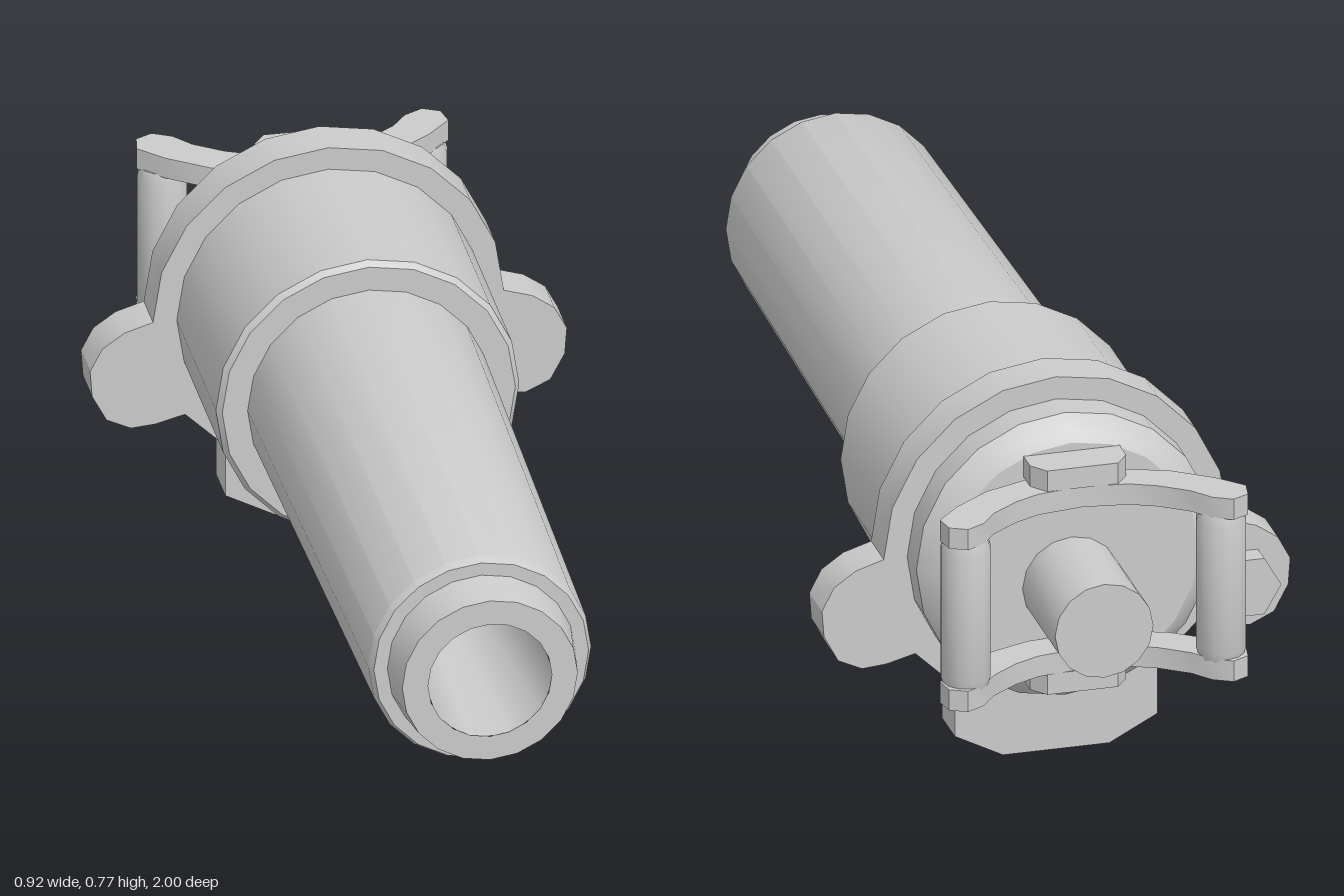
import * as THREE from 'three';
import { toCreasedNormals } from 'three/addons/utils/BufferGeometryUtils.js';

const AXIS_Y = 0.435;
const material = new THREE.MeshStandardMaterial({ color: 0xcccccc });

const vec = ([x, y]) => new THREE.Vector2(x, y);

// Closed outline from its right half, mirrored across x = 0 (half runs from x >= 0 to x >= 0)
function mirrored(half) {
  const left = half.filter(([x]) => x > 0).reverse().map(([x, y]) => [-x, y]);
  return [...half, ...left];
}

function extrude(outline, depth) {
  return new THREE.ExtrudeGeometry(new THREE.Shape(outline.map(vec)), { depth, bevelEnabled: false });
}

// Lathe around the z axis; profile pairs are [radius, z]
function turned(profile, sides, phi = 0) {
  return new THREE.LatheGeometry(profile.map(vec), sides, phi).rotateX(Math.PI / 2);
}

export function createModel() {
  const model = new THREE.Group();
  const add = (name, geometry, x = 0, y = 0, z = 0, crease = 0.5) => {
    const mesh = new THREE.Mesh(toCreasedNormals(geometry, crease), material);
    mesh.name = name;
    mesh.position.set(x, y, z);
    model.add(mesh);
    return mesh;
  };

  // Tapered barrel with a stepped muzzle
  add('barrel', turned([
    [0.235, -0.25], [0.235, -0.18], [0.216, 0.9], [0.208, 0.915], [0.182, 0.915],
    [0.17, 1], [0.12, 1],
  ], 20), 0, AXIS_Y);

  // Tapering bore, closed at its inner end
  add('bore', turned([[0.125, 1], [0.087, 0.2], [0, 0.2]], 10, Math.PI / 2), 0, AXIS_Y, 0, 0.8);

  // Rear casing with rounded back edge
  add('casing', turned([
    [0, -0.77], [0.25, -0.77], [0.27, -0.757], [0.294, -0.725], [0.294, -0.19],
    [0.284, -0.178], [0.22, -0.178],
  ], 20), 0, AXIS_Y);

  // Mounting flange: round top, two ears and a foot
  const half = [];
  for (let i = 0; i <= 5; i++) {
    const a = i * Math.PI / 10;
    half.push([0.34 * Math.sin(a), AXIS_Y + 0.34 * Math.cos(a)]);
  }
  half.push([0.395, 0.418], [0.438, 0.388], [0.462, 0.342], [0.458, 0.288], [0.43, 0.235],
    [0.383, 0.213], [0.335, 0.217], [0.278, 0.232], [0.2, 0.157], [0.2, 0.05], [0.105, 0]);
  add('mountingFlange', extrude(mirrored(half), 0.09), 0, 0, -0.66);

  // Hexagonal bolt on one ear
  add('earBolt', new THREE.CylinderGeometry(0.067, 0.067, 0.06, 6).rotateX(Math.PI / 2).rotateZ(Math.PI / 6),
    -0.365, 0.31, -0.675);

  // Lug below the barrel
  const lug = [[0.215, 0.24], [0.215, 0.165], [0.17, 0.115], [0.105, 0.115], [0.06, 0.16], [0.06, 0.24]];
  add('barrelLug', extrude(lug, 0.175).rotateY(-Math.PI / 2), 0.0875);

  // Rear rod
  add('rearRod', new THREE.CylinderGeometry(0.097, 0.097, 0.25, 16).rotateX(Math.PI / 2), 0, 0.392, -0.875);

  // Curved handle arms and their brackets, above and below
  const arm = mirrored([
    [0, 0.775], [0.09, 0.782], [0.18, 0.815], [0.255, 0.87], [0.302, 0.92], [0.295, 0.96],
    [0.262, 0.977], [0.225, 0.957], [0.195, 0.918], [0.14, 0.878], [0.09, 0.855], [0, 0.842],
  ]);
  const bracket = mirrored([[0.095, 0.76], [0.095, 0.815], [0.07, 0.848]]);
  for (const [name, armY, bracketY] of [['upper', 0.582, 0.625], ['lower', 0.245, 0.202]]) {
    add(name + 'HandleArm', extrude(arm, 0.043).rotateX(-Math.PI / 2), 0, armY);
    add(name + 'HandleBracket', extrude(bracket, 0.043).rotateX(-Math.PI / 2), 0, bracketY);
  }

  // Upright grips joining the arms
  const grip = [[0, 0.28], [0.043, 0.28], [0.049, 0.3], [0.049, 0.565], [0.043, 0.585], [0, 0.585]];
  for (const [name, x] of [['leftGrip', 0.252], ['rightGrip', -0.252]]) {
    add(name, new THREE.LatheGeometry(grip.map(vec), 12), x, 0, -0.923, 0.6);
  }

  return model;
}
